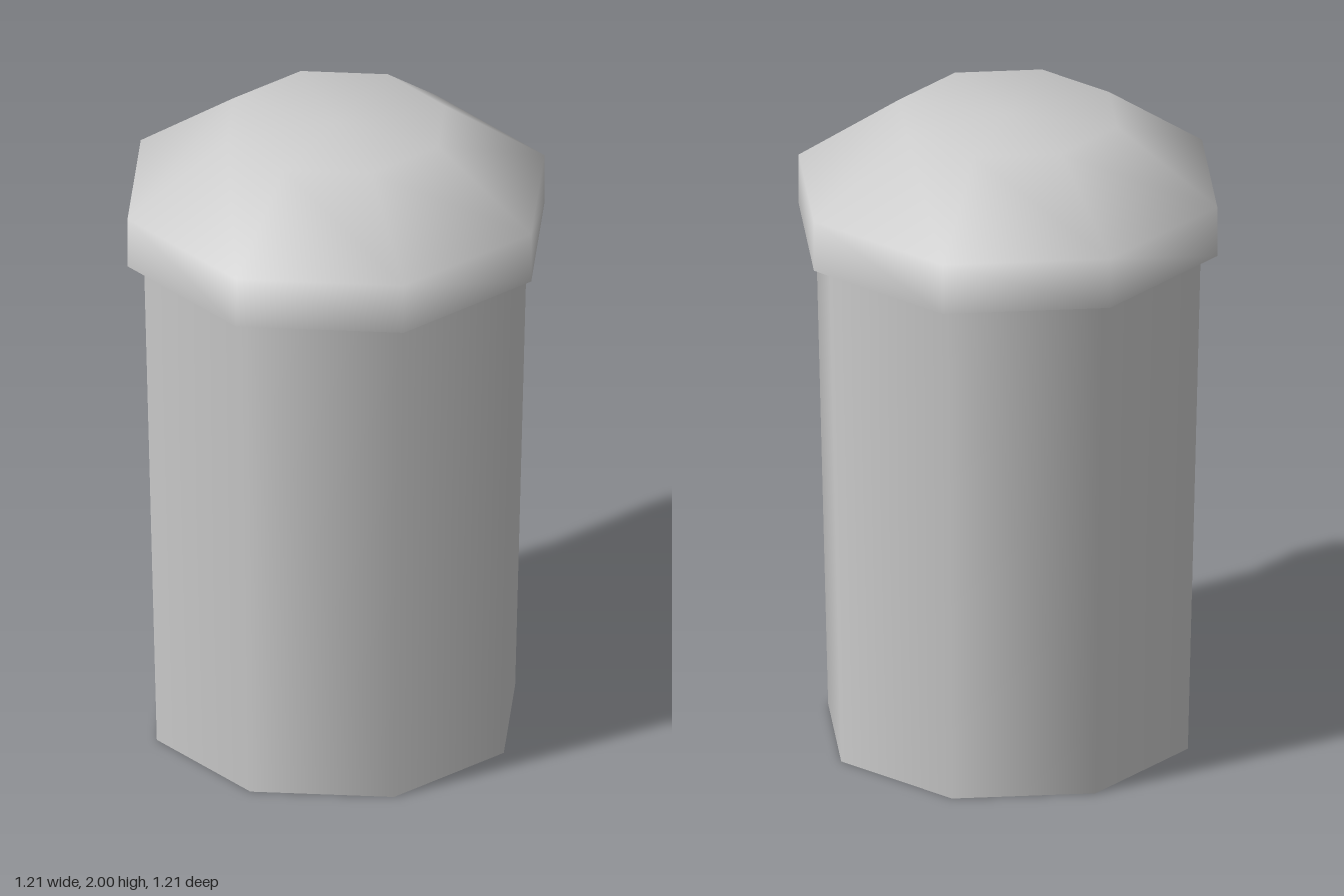
import * as THREE from 'three';

const SIDES = 8;
const TURN = Math.PI / SIDES; // puts flat sides on the axes

export function createModel() {
  const model = new THREE.Group();
  const grey = new THREE.MeshStandardMaterial({ color: 0xcccccc });
  grey.name = 'light grey';

  // Eight-sided smooth surface; profile is [distance to flat side, height]
  function ring(name, profile) {
    const points = profile.map(([r, y]) => new THREE.Vector2(r / Math.cos(TURN), y));
    const mesh = new THREE.Mesh(new THREE.LatheGeometry(points, SIDES, TURN), grey);
    mesh.name = name;
    return mesh;
  }

  // Tapered body and its flat base
  const body = new THREE.Group();
  body.name = 'body';
  body.add(
    ring('base', [[0, 0], [0.52, 0]]),
    ring('wall', [[0.52, 0], [0.557, 1.62]])
  );

  // Overhanging lid: flat underside, then rim, slope and top shaded as one
  const lid = new THREE.Group();
  lid.name = 'lid';
  lid.add(
    ring('lidUnderside', [[0.5, 1.62], [0.605, 1.62]]),
    ring('lidDome', [[0.605, 1.62], [0.605, 1.78], [0.315, 2], [0, 2]])
  );

  model.add(body, lid);
  return model;
}
